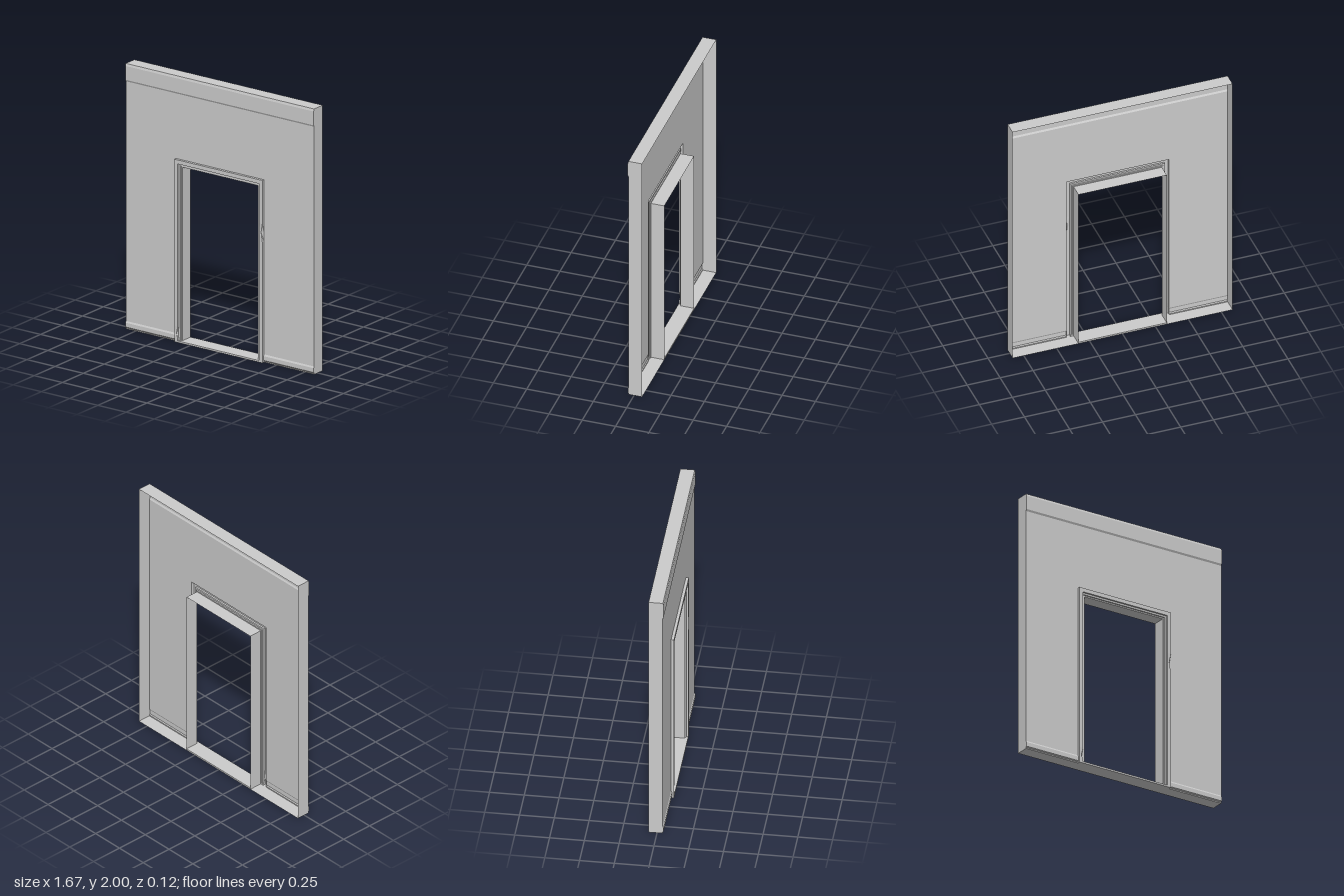
import * as THREE from 'three';

const material = new THREE.MeshStandardMaterial({ color: 0xcccccc, flatShading: true, side: THREE.DoubleSide });

const HALF_W = 0.835, BACK = -0.061, FACE = 0.04, FRONT = 0.061;
const DOOR_X = 0.335, DOOR_Y = 1.32, CASING = 0.055;

// Open sheet joining successive cross-sections of equal length
function loft(name, sections) {
  const pos = [], index = [], n = sections[0].length;
  sections.forEach(s => s.forEach(p => pos.push(...p)));
  for (let i = 0; i < sections.length - 1; i++) {
    for (let j = 0; j < n - 1; j++) {
      const a = i * n + j, b = a + n;
      index.push(a, b, a + 1, b, b + 1, a + 1);
    }
  }
  const g = new THREE.BufferGeometry();
  g.setAttribute('position', new THREE.Float32BufferAttribute(pos, 3));
  g.setIndex(index);
  const flat = g.toNonIndexed();
  flat.computeVertexNormals();
  const mesh = new THREE.Mesh(flat, material);
  mesh.name = name;
  return mesh;
}

// Wall section as [z, y]: skirting at the bottom, raised band at the top
const lower = [[FACE, 0], [FACE, 0.008], [0.046, 0.016], [0.046, 0.048], [FACE, 0.06]];
const upper = [[FACE, 1.865], [0.047, 1.878], [0.047, 1.982], [0.042, 2], [BACK, 2]];

// Sheet of the wall profile between two x positions
function wallStrip(name, profile, x0, x1) {
  return loft(name, [x0, x1].map(x => profile.map(([z, y]) => [x, y, z])));
}

// Casing and lining section as [distance out from the opening, z]
const casing = [
  [CASING, FACE], [CASING, FRONT], [0.025, FRONT], [0.025, 0.047],
  [0.012, 0.047], [0.009, 0.04], [0, 0.04], [0, BACK],
];

// One station of the casing; dent shifts chosen profile points
function station(side, y, dent = {}) {
  return casing.map(([d, z], i) => {
    const [dd, dz] = dent[i] || [0, 0];
    return [side * (DOOR_X + d + dd), y === null ? DOOR_Y + d : y, z + dz];
  });
}

export function createModel() {
  const model = new THREE.Group();
  model.name = 'doorwayWall';

  // Front skin with open back, and the top return
  const full = [...lower, ...upper];
  const top = [[FACE, DOOR_Y + CASING], ...upper];
  const edge = DOOR_X + CASING;
  model.add(
    wallStrip('wallRight', full, -HALF_W, -edge),
    wallStrip('wallAboveDoor', top, -edge, edge),
    wallStrip('wallLeft', full, edge, HALF_W),
  );

  // End panels and bottom returns
  for (const side of [-1, 1]) {
    const label = side > 0 ? 'Left' : 'Right';
    model.add(loft('endPanel' + label, [
      full.map(([z, y]) => [side * HALF_W, y, z]),
      full.map(([, y]) => [side * HALF_W, y, BACK]),
    ]));
    model.add(loft('bottomReturn' + label, [BACK, FACE].map(z =>
      [[side * DOOR_X, 0, z], [side * HALF_W, 0, z]])));
    // Underside of the casing leg
    model.add(loft('casingFoot' + label, [FACE, FRONT].map(z =>
      [[side * DOOR_X, 0, z], [side * edge, 0, z]])));
  }

  // Door casing with lining, chipped on two edges
  model.add(loft('doorCasing', [
    station(-1, 0),
    station(-1, 0.03),
    station(-1, 0.06, { 2: [0.015, -0.003], 3: [0.004, 0] }),
    station(-1, 0.12),
    station(-1, null),
    station(1, null),
    station(1, 1.05),
    station(1, 0.98, { 1: [-0.013, -0.003] }),
    station(1, 0.91),
    station(1, 0),
  ]));

  // Threshold across the opening
  const sill = new THREE.Mesh(new THREE.BoxGeometry(2 * DOOR_X + 0.05, 0.013, FRONT - FACE), material);
  sill.position.set(0, 0.0065, (FRONT + FACE) / 2);
  sill.name = 'thresholdNose';
  const floor = new THREE.Mesh(new THREE.BoxGeometry(2 * DOOR_X, 0.013, FACE - BACK), material);
  floor.position.set(0, 0.0065, (FACE + BACK) / 2);
  floor.name = 'threshold';
  model.add(sill, floor);

  return model;
}
